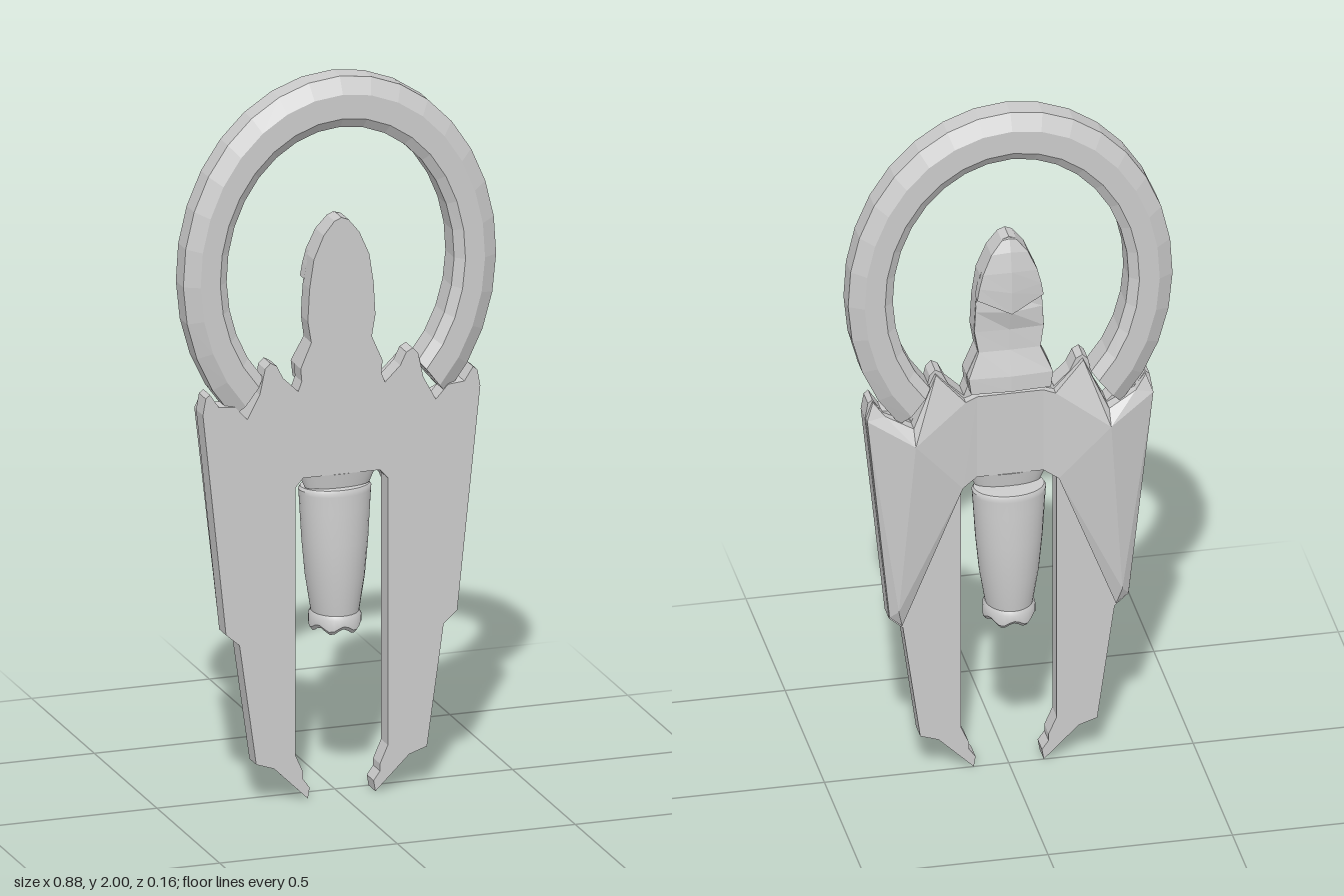
import * as THREE from 'three';
import { toCreasedNormals } from 'three/addons/utils/BufferGeometryUtils.js';

const flat = new THREE.MeshStandardMaterial({ color: 0xcccccc, flatShading: true, side: THREE.DoubleSide });
const smooth = new THREE.MeshStandardMaterial({ color: 0xcccccc, side: THREE.DoubleSide });

function add(group, name, geometry, material = flat) {
  const mesh = new THREE.Mesh(geometry, material);
  mesh.name = name;
  group.add(mesh);
  return mesh;
}

// Collects triangles and quads, each facing the side its corners run anticlockwise on
function surface(faces) {
  const pos = [];
  for (const f of faces) {
    for (let i = 1; i < f.length - 1; i++) pos.push(...f[0], ...f[i], ...f[i + 1]);
  }
  const g = new THREE.BufferGeometry();
  g.setAttribute('position', new THREE.Float32BufferAttribute(pos, 3));
  g.computeVertexNormals();
  return g;
}

// Mirrors faces in x, keeping them facing outwards
const mirrored = (faces) => faces.concat(
  faces.map((f) => f.map(([x, y, z]) => [-x, y, z]).reverse()));

// Flat front plate with head, spikes, shoulders and two legs
function plateGeometry() {
  const half = [
    [0.02, 1.602], [0.05, 1.565], [0.078, 1.5], [0.09, 1.42], [0.095, 1.33], [0.085, 1.27],
    [0.115, 1.2], [0.112, 1.165], [0.122, 1.138], [0.165, 1.18], [0.182, 1.215], [0.2, 1.225],
    [0.215, 1.21], [0.23, 1.14], [0.265, 1.075], [0.3, 1.113], [0.345, 1.117], [0.37, 1.155],
    [0.382, 1.145], [0.39, 1.1], [0.325, 0.48], [0.287, 0.447], [0.24, 0.11], [0.19, 0.093],
    [0.095, 0.01], [0.09, 0.03], [0.108, 0.055], [0.108, 0.075], [0.13, 0.125], [0.13, 0.87],
    [0.108, 0.895],
  ];
  const outline = [[0, 1.61], ...half, ...half.map(([x, y]) => [-x, y]).reverse()];
  const shape = new THREE.Shape(outline.map(([x, y]) => new THREE.Vector2(x, y)));
  const g = new THREE.ExtrudeGeometry(shape, { depth: 0.055, bevelEnabled: false });
  // The foot tips end exactly on the ground
  const p = g.attributes.position;
  for (let i = 0; i < p.count; i++) if (p.getY(i) < 0.02) p.setY(i, 0);
  return g;
}

// Open oval hoop with an eight-sided section: [x radius, y radius, z]
function hoopGeometry() {
  const section = [
    [0.44, 0.53, 0.04], [0.4, 0.485, 0.065], [0.345, 0.418, 0.065], [0.32, 0.39, 0.045],
    [0.32, 0.39, -0.025], [0.345, 0.418, -0.045], [0.4, 0.485, -0.045], [0.44, 0.53, -0.02],
  ];
  const steps = 24, start = -47 * Math.PI / 180, sweep = 274 * Math.PI / 180;
  const rings = [];
  for (let i = 0; i <= steps; i++) {
    const a = start + sweep * i / steps;
    rings.push(section.map(([rx, ry, z]) => [rx * Math.cos(a), 1.47 + ry * Math.sin(a), z]));
  }
  const faces = [rings[0], [...rings[steps]].reverse()];
  for (let i = 0; i < steps; i++) {
    for (let j = 0; j < 8; j++) {
      const k = (j + 1) % 8;
      faces.push([rings[i][j], rings[i + 1][j], rings[i + 1][k], rings[i][k]]);
    }
  }
  return surface(faces);
}

// Faceted shoulder armour on the back, with a ridge running down each wing
function armourGeometry() {
  const v = {
    midTop: [0, 1.14, -0.018], neck: [0.09, 1.14, -0.018], dip: [0.122, 1.13, -0.025],
    spike: [0.2, 1.215, -0.012], notch: [0.265, 1.072, -0.035], step: [0.34, 1.112, -0.022],
    horn: [0.37, 1.15, -0.008], side: [0.388, 1.1, -0.02], peak: [0.265, 1.03, -0.062],
    hip: [0.324, 0.485, -0.004], tip: [0.29, 0.455, -0.004], ridge: [0.303, 0.51, -0.024],
    arch: [0.13, 0.87, -0.028], inner: [0.09, 0.895, -0.018], midLow: [0, 0.895, -0.018],
  };
  const at = (s) => s.split(' ').map((n) => v[n]);
  const faces = [
    'midTop neck inner midLow', 'neck dip arch inner', 'dip peak arch', 'dip spike peak',
    'spike notch peak', 'notch step peak', 'step side peak', 'step horn side',
    'peak side ridge', 'side hip ridge', 'hip tip ridge', 'peak ridge arch', 'ridge tip arch',
  ].map(at);
  // Walls down to the plate
  const rim = at('midTop neck dip spike notch step horn side hip tip arch inner midLow');
  for (let i = 0; i < rim.length - 1; i++) {
    const [a, b] = [rim[i], rim[i + 1]];
    faces.push([b, a, [a[0], a[1], 0.01], [b[0], b[1], 0.01]]);
  }
  return surface(mirrored(faces));
}

// Lofted back relief; rows run upward as [middle y, edge y, half width, middle z, edge z]
function reliefGeometry(rows) {
  const faces = [];
  const mid = (r) => [0, r[0], r[3]];
  const edge = (r) => [r[2], r[1], r[4]];
  const base = ([x, y]) => [x, y, 0.01];
  for (let i = 0; i < rows.length - 1; i++) {
    const [a, b] = [rows[i], rows[i + 1]];
    faces.push([mid(a), mid(b), edge(b), edge(a)]);
    faces.push([edge(a), edge(b), base(edge(b)), base(edge(a))]);
  }
  const [f, l] = [rows[0], rows[rows.length - 1]];
  faces.push([mid(f), edge(f), base(edge(f)), base(mid(f))]);
  faces.push([edge(l), mid(l), base(mid(l)), base(edge(l))]);
  return surface(mirrored(faces));
}

// Tapering barrel, oval at the top and round below, with a scalloped hollow mouth
function barrelGeometry() {
  const profile = [
    [0, 0.5], [0.035, 0.492], [0.05, 0.465], [0.062, 0.458], [0.07, 0.468], [0.07, 0.492],
    [0.064, 0.503], [0.066, 0.515], [0.08, 0.6], [0.09, 0.7], [0.096, 0.79], [0.099, 0.835],
    [0.1, 0.845], [0.095, 0.853], [0, 0.856],
  ];
  const g = new THREE.LatheGeometry(profile.map(([r, y]) => new THREE.Vector2(r, y)), 32);
  const p = g.attributes.position;
  for (let i = 0; i < p.count; i++) {
    const x = p.getX(i), y = p.getY(i), z = p.getZ(i);
    const t = THREE.MathUtils.clamp((y - 0.5) / 0.345, 0, 1);
    const wave = y < 0.48 && Math.hypot(x, z) > 0.04 ? 0.008 * Math.cos(6 * Math.atan2(x, z)) : 0;
    p.setXYZ(i, x, y + wave, z * THREE.MathUtils.lerp(1.12, 0.72, t));
  }
  return toCreasedNormals(g, 0.6);
}

// Bevelled collar joining the barrel to the arch
function collarGeometry() {
  const g = new THREE.CylinderGeometry(0.108, 0.09, 0.04, 24);
  g.scale(1, 1, 0.36);
  g.translate(0, 0.875, 0.018);
  return toCreasedNormals(g, 0.6);
}

export function createModel() {
  const model = new THREE.Group();
  model.name = 'ringedPendant';
  add(model, 'frontPlate', plateGeometry());
  add(model, 'hoop', hoopGeometry());
  add(model, 'backArmour', armourGeometry());
  add(model, 'neckRelief', reliefGeometry([
    [1.155, 1.155, 0.108, -0.036, -0.03], [1.2, 1.2, 0.114, -0.034, -0.028],
    [1.27, 1.27, 0.084, -0.012, -0.01], [1.33, 1.33, 0.094, -0.008, -0.004],
    [1.39, 1.39, 0.091, -0.024, -0.004], [1.43, 1.43, 0.088, -0.008, -0.002],
  ]));
  add(model, 'headCap', reliefGeometry([
    [1.395, 1.435, 0.09, -0.043, -0.022], [1.46, 1.47, 0.084, -0.043, -0.022],
    [1.52, 1.51, 0.074, -0.038, -0.02], [1.575, 1.565, 0.05, -0.026, -0.014],
    [1.608, 1.602, 0.02, -0.01, -0.006],
  ]));
  add(model, 'barrel', barrelGeometry(), smooth);
  add(model, 'barrelCollar', collarGeometry(), smooth);
  return model;
}
